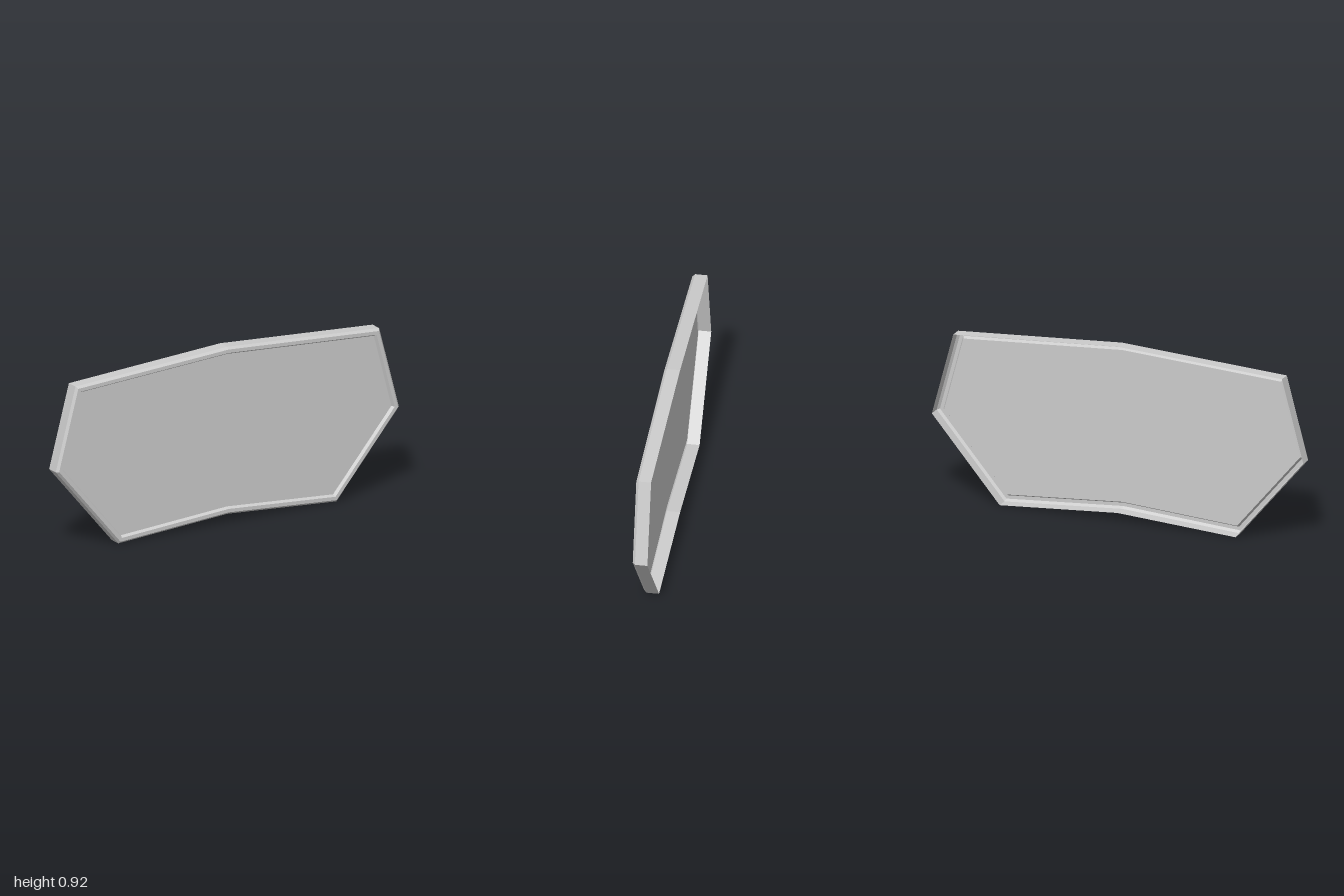
import * as THREE from 'three';

// Right half of the outline (top middle to bottom middle), then its mirror, clockwise.
const half = [[0, 0.92], [0.885, 0.865], [1, 0.435], [0.635, 0], [0, 0.045]];
const outline = [...half, ...half.slice(1, -1).reverse().map(([x, y]) => [-x, y])]
  .map(([x, y]) => new THREE.Vector2(x, y));

// Mitred inset of the outline by a constant distance.
function inset(points, d) {
  const n = points.length;
  const inward = (a, b) => {
    const e = b.clone().sub(a).normalize();
    return new THREE.Vector2(e.y, -e.x);
  };
  return points.map((p, i) => {
    const n1 = inward(points[(i + n - 1) % n], p);
    const n2 = inward(p, points[(i + 1) % n]);
    return p.clone().addScaledVector(n1.clone().add(n2), d / (1 + n1.dot(n2)));
  });
}

function ring(d, z, middleZ = z) {
  return inset(outline, d).map((p) =>
    new THREE.Vector3(p.x, p.y, Math.abs(p.x) < 0.01 ? middleZ : z));
}

// Flat-sided band joining successive rings.
function loft(rings) {
  const pos = [];
  for (let r = 0; r < rings.length - 1; r++) {
    const a = rings[r], b = rings[r + 1], n = a.length;
    for (let i = 0; i < n; i++) {
      const j = (i + 1) % n;
      for (const v of [a[i], b[i], b[j], a[i], b[j], a[j]]) pos.push(v.x, v.y, v.z);
    }
  }
  const g = new THREE.BufferGeometry();
  g.setAttribute('position', new THREE.Float32BufferAttribute(pos, 3));
  g.computeVertexNormals();
  return g;
}

export function createModel() {
  const group = new THREE.Group();
  group.name = 'framedPanel';
  const material = new THREE.MeshStandardMaterial({
    color: 0xcccccc, flatShading: true, side: THREE.DoubleSide,
  });
  const add = (name, geometry) => {
    const mesh = new THREE.Mesh(geometry, material);
    mesh.name = name;
    group.add(mesh);
    return mesh;
  };

  const panelInset = 0.038, panelZ = 0.025;

  // Thin outer wall, open at the back; its rear edge bulges slightly at the middle
  add('outerWall', loft([ring(0, -0.035, -0.039), ring(0, 0.028)]));

  // Front rim: outer chamfer, flat face, step down to the panel
  add('frontRim', loft([
    ring(0, 0.028), ring(0.011, 0.041), ring(0.029, 0.041), ring(panelInset, panelZ),
  ]));

  // Flat recessed panel
  const panel = new THREE.ShapeGeometry(new THREE.Shape(inset(outline, panelInset)));
  add('panel', panel).position.z = panelZ;

  return group;
}
